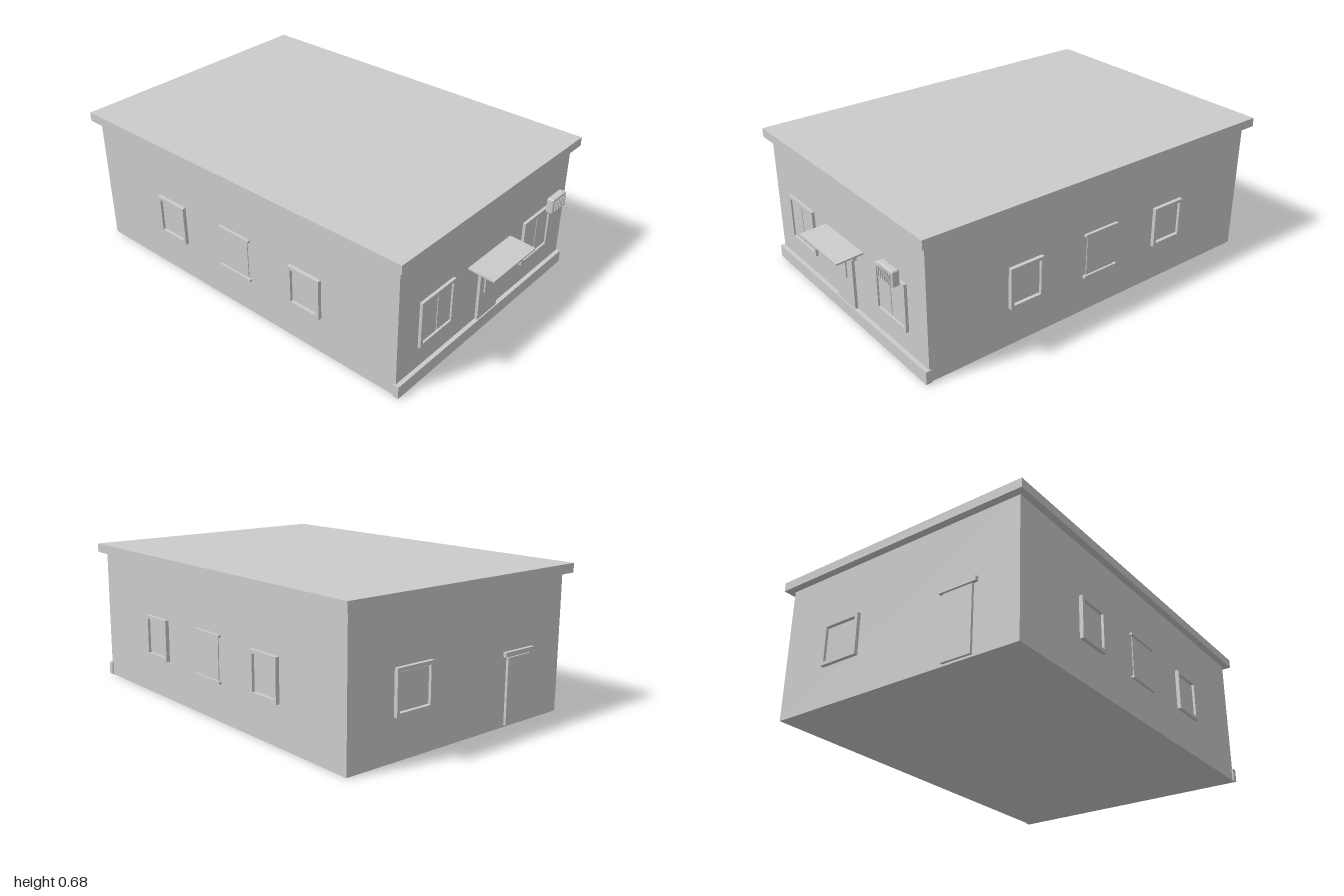
import * as THREE from 'three';
import { RoundedBoxGeometry } from 'three/addons/geometries/RoundedBoxGeometry.js';

const mat = new THREE.MeshStandardMaterial({ color: 0xcccccc });

// Box given by its limits on each axis
function box(parent, name, x0, x1, y0, y1, z0, z1) {
  const mesh = new THREE.Mesh(new THREE.BoxGeometry(x1 - x0, y1 - y0, z1 - z0), mat);
  mesh.position.set((x0 + x1) / 2, (y0 + y1) / 2, (z0 + z1) / 2);
  mesh.name = name;
  parent.add(mesh);
  return mesh;
}

// A facade whose local z = 0 is the wall surface and +z points outward
function facade(parent, name, x, z, turn) {
  const g = new THREE.Group();
  g.name = name;
  g.position.set(x, 0, z);
  g.rotation.y = turn;
  parent.add(g);
  return g;
}

// Framed window, with a mullion when it has two panes
function framedWindow(parent, cx, width, y0, y1, { depth = 0.018, bar = 0.016, panes = 1 } = {}) {
  const g = new THREE.Group();
  g.name = 'window';
  g.position.x = cx;
  parent.add(g);
  const w = width / 2;
  const rim = new THREE.Shape([[-w, y0], [w, y0], [w, y1], [-w, y1]].map(p => new THREE.Vector2(...p)));
  const a = w - bar, b = y0 + bar, c = y1 - bar;
  rim.holes.push(new THREE.Path([[-a, b], [-a, c], [a, c], [a, b]].map(p => new THREE.Vector2(...p))));
  const frame = new THREE.Mesh(
    new THREE.ExtrudeGeometry(rim, { depth: depth + 0.005, bevelEnabled: false }), mat);
  frame.position.z = -0.005;
  frame.name = 'windowFrame';
  g.add(frame);
  // Panes with narrow gaps around them
  const gap = 0.005, step = 2 * a / panes;
  for (let i = 0; i < panes; i++) {
    const left = -a + i * step;
    box(g, 'windowPane', left + gap / 2, left + step - gap / 2, b + gap, c - gap, -0.005, 0.007);
  }
}

// Door leaf with a lintel over it
function door(parent, cx, width, y0, y1, depth) {
  const w = width / 2;
  box(parent, 'door', cx - w, cx + w, y0, y1, -0.005, depth);
  box(parent, 'doorLintel', cx - w - 0.02, cx + w + 0.02, y1 + 0.005, y1 + 0.026, -0.005, depth + 0.004);
}

export function createModel() {
  const model = new THREE.Group();
  model.name = 'building';

  // Main volume
  box(model, 'walls', -0.635, 0.633, 0, 0.64, -0.965, 0.87);
  box(model, 'roofSlab', -0.667, 0.667, 0.64, 0.683, -1, 0.9);
  box(model, 'frontPlinth', -0.643, 0.639, 0, 0.062, 0.862, 0.89);

  // Front: two wide windows and the entrance
  const front = facade(model, 'frontFacade', 0, 0.87, 0);
  for (const x of [-0.383, 0.381]) framedWindow(front, x, 0.228, 0.17, 0.398, { depth: 0.014, panes: 2 });
  door(front, 0, 0.15, 0.06, 0.312, 0.014);

  // Sloping entrance canopy with two hanging supports
  const canopy = box(front, 'canopy', -0.163, 0.161, 0.373, 0.381, -0.005, 0.13);
  canopy.rotation.x = 0.06;
  for (const x of [-0.137, 0.135]) box(front, 'canopySupport', x - 0.003, x + 0.003, 0.28, 0.376, 0.071, 0.077);

  // Air conditioner with a ribbed face
  const unit = new THREE.Group();
  unit.name = 'airConditioner';
  unit.position.set(0.45, 0.447, 0.923);
  model.add(unit);
  const casing = new THREE.Mesh(new RoundedBoxGeometry(0.114, 0.075, 0.036, 2, 0.008), mat);
  casing.name = 'airConditionerCasing';
  unit.add(casing);
  for (let i = 0; i < 7; i++) {
    const x = -0.042 + i * 0.014;
    box(unit, 'airConditionerRib', x - 0.003, x + 0.003, -0.025, 0.025, 0.016, 0.023);
  }

  // Both sides: two windows and a blind panel with lintel and sill
  for (const s of [1, -1]) {
    const side = facade(model, s > 0 ? 'leftFacade' : 'rightFacade', s > 0 ? 0.633 : -0.635, 0, s * Math.PI / 2);
    for (const z of [0.377, -0.468]) framedWindow(side, -s * z, 0.178, 0.187, 0.385);
    const c = s * 0.048;
    box(side, 'blindPanel', c - 0.08, c + 0.08, 0.187, 0.385, -0.005, 0.004);
    box(side, 'panelLintel', c - 0.096, c + 0.096, 0.384, 0.396, -0.005, 0.014);
    box(side, 'panelSill', c - 0.096, c + 0.096, 0.176, 0.188, -0.005, 0.014);
  }

  // Back: one window and a service door
  const back = facade(model, 'backFacade', 0, -0.965, Math.PI);
  framedWindow(back, -0.292, 0.2, 0.187, 0.385);
  door(back, 0.345, 0.145, 0.01, 0.312, 0.012);

  return model;
}
